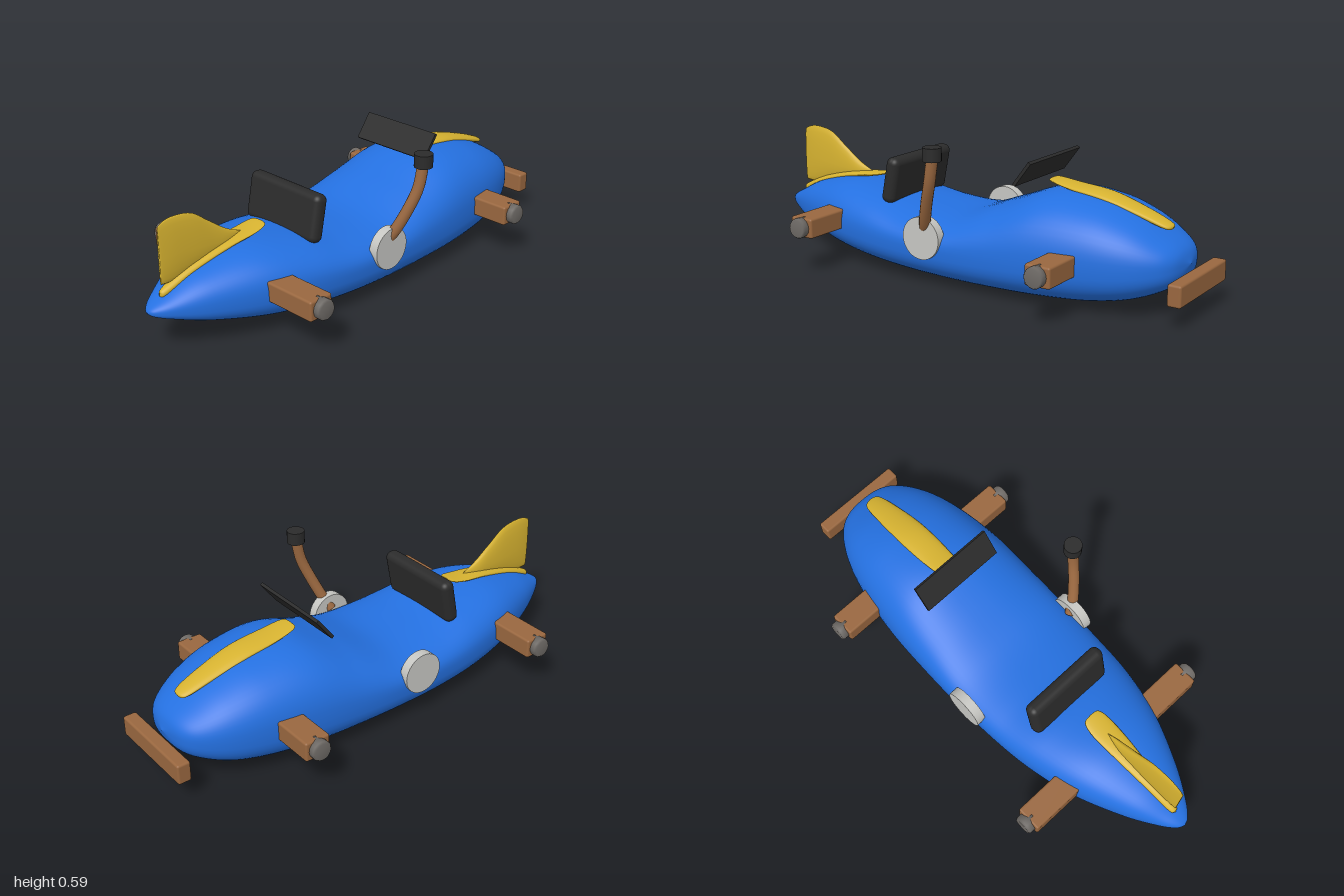
import * as THREE from 'three';
import { RoundedBoxGeometry } from 'three/addons/geometries/RoundedBoxGeometry.js';

const mat = (name, color) => Object.assign(new THREE.MeshStandardMaterial({ color }), { name });

// Smooth skin over superelliptic sections; rows run from +z to -z: [z, bottom, middle, top, halfWidth]
function loft(rows, steps, sides, nTop = 2, nBottom = 2) {
  const curve = (f) => new THREE.CatmullRomCurve3(rows.map(f), false, 'catmullrom', 0.5);
  const a = curve((r) => new THREE.Vector3(r[0], r[2], r[4]));
  const b = curve((r) => new THREE.Vector3(r[1], r[3], 0));
  const pos = [], index = [];
  const pow = (v, n) => Math.sign(v) * Math.abs(v) ** (2 / n);
  for (let i = 0; i <= steps; i++) {
    const p = a.getPoint(i / steps), q = b.getPoint(i / steps);
    for (let j = 0; j < sides; j++) {
      const t = (j / sides) * Math.PI * 2, s = Math.sin(t);
      const n = s > 0 ? nTop : nBottom;
      const h = s > 0 ? q.y - p.y : p.y - q.x;
      pos.push(Math.max(p.z, 0) * pow(Math.cos(t), n), p.y + h * pow(s, n), p.x);
      if (i === steps) continue;
      const k = i * sides + j, l = i * sides + ((j + 1) % sides);
      index.push(k, k + sides, l, l, k + sides, l + sides);
    }
  }
  const g = new THREE.BufferGeometry();
  g.setAttribute('position', new THREE.Float32BufferAttribute(pos, 3));
  g.setIndex(index);
  g.computeVertexNormals();
  return g;
}

export function createModel() {
  const root = new THREE.Group();
  root.name = 'racer';
  const blue = mat('blue paint', 0x2470e0);
  const yellow = mat('yellow trim', 0xd6b230);
  const wood = mat('brown wood', 0x99673f);
  const black = mat('black padding', 0x2b2b2b);
  const steel = mat('hub grey', 0x6e6a66);
  const silver = mat('light grey disc', 0xc6c6c2);

  const add = (name, geo, material, x = 0, y = 0, z = 0) => {
    const m = new THREE.Mesh(geo, material);
    m.name = name;
    m.position.set(x, y, z);
    root.add(m);
    return m;
  };

  // Hull: pointed end at +z, dipped cockpit, blunt end at -z
  add('body', loft([
    [1.0, 0.175, 0.175, 0.175, 0],
    [0.985, 0.16, 0.175, 0.192, 0.03],
    [0.93, 0.138, 0.175, 0.222, 0.075],
    [0.8, 0.095, 0.175, 0.283, 0.15],
    [0.6, 0.05, 0.175, 0.328, 0.235],
    [0.4, 0.024, 0.168, 0.315, 0.283],
    [0.2, 0.01, 0.16, 0.277, 0.304],
    [0.0, 0.003, 0.16, 0.276, 0.31],
    [-0.2, 0.003, 0.165, 0.345, 0.309],
    [-0.4, 0.007, 0.175, 0.415, 0.301],
    [-0.6, 0.02, 0.185, 0.405, 0.275],
    [-0.75, 0.047, 0.19, 0.36, 0.235],
    [-0.86, 0.09, 0.195, 0.3, 0.177],
    [-0.92, 0.135, 0.198, 0.255, 0.108],
    [-0.945, 0.2, 0.2, 0.2, 0],
  ], 112, 56, 2.4, 2.8), blue);

  // Yellow trim strips and upright fin
  add('finBase', loft([
    [0.94, 0.22, 0.225, 0.23, 0],
    [0.92, 0.215, 0.232, 0.248, 0.018],
    [0.8, 0.265, 0.283, 0.3, 0.032],
    [0.65, 0.31, 0.325, 0.338, 0.045],
    [0.52, 0.335, 0.343, 0.352, 0.05],
    [0.46, 0.35, 0.355, 0.361, 0.038],
    [0.45, 0.358, 0.358, 0.358, 0],
  ], 40, 20), yellow);
  add('noseStrip', loft([
    [-0.355, 0.443, 0.443, 0.443, 0],
    [-0.362, 0.435, 0.44, 0.446, 0.042],
    [-0.45, 0.412, 0.424, 0.436, 0.056],
    [-0.6, 0.385, 0.403, 0.421, 0.06],
    [-0.75, 0.345, 0.362, 0.378, 0.05],
    [-0.85, 0.315, 0.328, 0.34, 0.035],
    [-0.87, 0.325, 0.325, 0.325, 0],
  ], 40, 20), yellow);
  add('fin', loft([
    [0.932, 0.27, 0.36, 0.47, 0],
    [0.926, 0.262, 0.36, 0.496, 0.007],
    [0.87, 0.26, 0.37, 0.512, 0.015],
    [0.78, 0.275, 0.36, 0.497, 0.019],
    [0.7, 0.29, 0.35, 0.44, 0.019],
    [0.62, 0.31, 0.34, 0.382, 0.016],
    [0.54, 0.335, 0.34, 0.345, 0],
  ], 40, 20), yellow);

  // Seat back and windscreen
  add('seatBack', new RoundedBoxGeometry(0.385, 0.195, 0.062, 4, 0.027), black, 0, 0.373, 0.314).rotation.x = -0.19;
  add('windscreen', new THREE.BoxGeometry(0.37, 0.118, 0.013), black, 0, 0.486, -0.322).rotation.x = -0.64;

  // Axle beams with hubs
  for (const z of [0.565, -0.555]) {
    for (const s of [1, -1]) {
      add('axleBeam', new RoundedBoxGeometry(0.33, 0.082, 0.108, 2, 0.009), wood, s * 0.28, 0.196, z);
      const hub = new THREE.LatheGeometry(
        [[0, -0.02], [0.041, -0.02], [0.041, 0.026], [0.035, 0.034], [0, 0.034]].map((p) => new THREE.Vector2(...p)), 16);
      add('wheelHub', hub.toNonIndexed(), steel, s * 0.441, 0.197, z).rotation.z = -s * Math.PI / 2;
    }
  }

  // Rear-facing end bumper
  add('bumper', new RoundedBoxGeometry(0.4, 0.085, 0.056, 2, 0.009), wood, 0, 0.133, -0.972);

  // Side discs
  for (const s of [1, -1]) {
    add('sideDisc', new THREE.CylinderGeometry(0.086, 0.086, 0.04, 40), silver, s * 0.3, 0.205, 0.055).rotation.z = Math.PI / 2;
  }

  // Brake lever on the left side
  const path = new THREE.CatmullRomCurve3([
    [0.285, 0.225, 0.055], [0.315, 0.275, 0.035], [0.35, 0.365, 0], [0.373, 0.455, -0.032], [0.379, 0.55, -0.05],
  ].map((p) => new THREE.Vector3(...p)));
  add('brakeLever', new THREE.TubeGeometry(path, 28, 0.023, 14), wood);
  add('leverGrip', new THREE.CylinderGeometry(0.037, 0.037, 0.053, 20), black, 0.38, 0.566, -0.05);

  return root;
}
